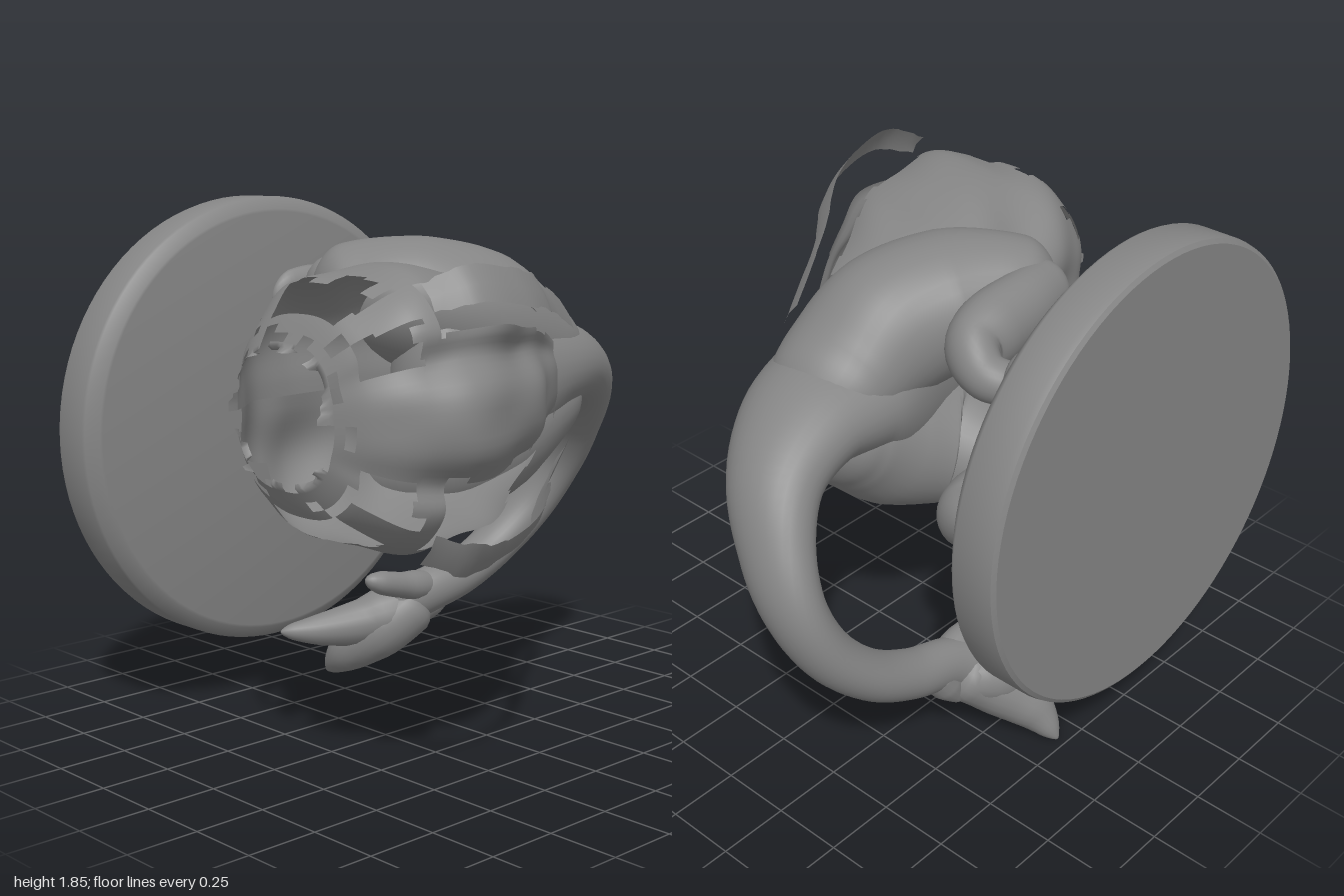
import * as THREE from 'three';
import { toCreasedNormals } from 'three/addons/utils/BufferGeometryUtils.js';

const V = (x, y, z) => new THREE.Vector3(x, y, z);
const grey = new THREE.MeshStandardMaterial({ color: 0x858585 });
const thin = new THREE.MeshStandardMaterial({ color: 0x858585, side: THREE.DoubleSide });
const MID = 1.23; // the body's plane of symmetry in y

function named(name, geometry, material = grey) {
  const mesh = new THREE.Mesh(geometry, material);
  mesh.name = name;
  return mesh;
}

// Seeded value between 0 and 1 for torn edges
function noise(a, b = 0) {
  const s = Math.sin(a * 127.1 + b * 311.7 + 4.7) * 43758.5453;
  return s - Math.floor(s);
}

function surface(positions, index) {
  const g = new THREE.BufferGeometry();
  g.setAttribute('position', new THREE.Float32BufferAttribute(positions, 3));
  g.setIndex(index);
  g.computeVertexNormals();
  return g;
}

// Smooth limb through points [x, y, z, sideRadius, refRadius], with rounded ends
function limb(points, ref, rings = 60, sides = 28, cap = 0.07) {
  const path = new THREE.CatmullRomCurve3(points.map(p => V(p[0], p[1], p[2])));
  const size = new THREE.CatmullRomCurve3(points.map(p => V(p[3], p[4] ?? p[3], 0)));
  const positions = [], index = [];
  for (let i = 0; i <= rings; i++) {
    // rings gather at the ends so the caps stay round
    const t = (1 - Math.cos(Math.PI * i / rings)) / 2;
    const c = path.getPoint(t), r = size.getPoint(t), dir = path.getTangent(t);
    const side = V(0, 0, 0).crossVectors(dir, ref).normalize();
    const up = V(0, 0, 0).crossVectors(side, dir);
    const d = Math.min(1, Math.min(t, 1 - t) / cap);
    const k = Math.sqrt(Math.max(0, 1 - (1 - d) ** 2)) + 1e-4;
    for (let j = 0; j < sides; j++) {
      const a = j / sides * Math.PI * 2;
      const p = c.clone().addScaledVector(side, Math.cos(a) * r.x * k).addScaledVector(up, Math.sin(a) * r.y * k);
      positions.push(p.x, p.y, p.z);
      if (i < rings) {
        const q = i * sides + j, n = i * sides + (j + 1) % sides;
        index.push(q, q + sides, n, n, q + sides, n + sides);
      }
    }
  }
  return surface(positions, index);
}

// Hollow torn torso: rows are [x, lowZ, highZ, halfWidth]
function torsoGeometry() {
  const rows = [
    [0.36, 0, 0.25, 0.19], [0.2, -0.06, 0.37, 0.28], [0, -0.11, 0.52, 0.35],
    [-0.2, -0.14, 0.67, 0.4], [-0.4, -0.14, 0.77, 0.43], [-0.6, -0.14, 0.79, 0.44],
    [-0.74, -0.1, 0.74, 0.41], [-0.86, 0, 0.62, 0.32], [-0.93, 0.07, 0.48, 0.2]];
  const place = new THREE.CatmullRomCurve3(rows.map(r => V(r[0], r[1], r[2])));
  const width = new THREE.CatmullRomCurve3(rows.map(r => V(r[3], 0, 0)));
  const square = v => Math.sign(v) * Math.abs(v) ** 0.8;
  const nu = 72, nv = 128, positions = [], index = [];
  for (let i = 0; i <= nu; i++) {
    const t = i / nu, p = place.getPoint(t), w = width.getPoint(t).x, mid = Math.sin(Math.PI * t);
    for (let j = 0; j <= nv; j++) {
      const a = (j / nv * 2 - 1) * Math.PI, s = Math.abs(a);
      // grooves beside the spine, and a breastbone crease below
      const groove = 0.06 * Math.exp(-(((s - 0.36) / 0.16) ** 2)) * mid;
      const crease = 0.05 * Math.exp(-(((s - Math.PI) / 0.25) ** 2)) * mid;
      const fold = 1 + 0.025 * Math.sin(t * 22 + s * 5) * mid;
      const rag = i === nu ? (noise(Math.floor(j / 3)) - 0.5) * 0.07 : 0;
      positions.push(p.x + rag, MID + square(Math.sin(a)) * w * fold,
        (p.y + p.z) / 2 + square(Math.cos(a)) * (p.z - p.y) / 2 * fold - groove + crease);
    }
  }
  for (let i = 0; i < nu; i++) for (let j = 0; j < nv; j++) {
    const x = place.getPoint((i + 0.5) / nu).x;
    const a = ((j + 0.5) / nv * 2 - 1) * Math.PI, s = Math.abs(a);
    const wob = (noise(Math.floor(i / 4), Math.floor(j / 64)) - 0.5) * 0.1;
    // long slots beside the spine
    const inner = a > 0 ? 0.56 : 0.32;
    const slot = x < 0.3 && x > -0.66 + wob && s > inner + wob && s < 1.08 + wob;
    // gaps round the torn neck
    const start = -0.7 - 0.08 * noise(Math.floor(j / 3), 3);
    const neck = x < start && x > -0.87 &&
      ((s > 1.1 + wob && s < 1.95) || (s > 0.35 && s < 0.75 + wob) || (s > 2.3 && s < 2.7));
    const frayed = x < -0.87 && noise(Math.floor(j / 4), Math.floor(i / 2)) > 0.7;
    if (slot || neck || frayed) continue;
    const q = i * (nv + 1) + j, m = q + nv + 1;
    index.push(q, q + 1, m, q + 1, m + 1, m);
  }
  return surface(positions, index);
}

// Ragged ribbon of skin hanging along one side of the back
function backStrip(side) {
  const path = new THREE.CatmullRomCurve3([
    V(0.37, 0.23, 0.27), V(0.2, 0.28, 0.37), V(0, 0.32, 0.5), V(-0.2, 0.36, 0.66),
    V(-0.4, 0.39, 0.75), V(-0.6, 0.41, 0.77), V(-0.72, 0.37, 0.7)]);
  const n = 40, positions = [], index = [];
  for (let i = 0; i <= n; i++) {
    const p = path.getPoint(i / n);
    const half = 0.035 + 0.025 * noise(Math.floor(i / 3), side);
    for (const k of [-1, 0, 1]) {
      positions.push(p.x, MID + side * (p.y + k * half), p.z - k * half * 0.7 + (k ? 0 : 0.01));
    }
    if (i < n) for (const q of [i * 3, i * 3 + 1]) {
      if (side > 0) index.push(q, q + 1, q + 3, q + 1, q + 4, q + 3);
      else index.push(q, q + 3, q + 1, q + 1, q + 3, q + 4);
    }
  }
  return surface(positions, index);
}

function baseDisc() {
  const profile = [[0, -0.85], [0.8, -0.85], [0.815, -0.84], [0.82, -0.82], [0.82, -0.695],
    [0.815, -0.685], [0.775, -0.652], [0.765, -0.65], [0, -0.65]].map(p => new THREE.Vector2(...p));
  const g = new THREE.LatheGeometry(profile, 96);
  g.rotateX(Math.PI / 2);
  g.translate(-0.18, 1.04, 0);
  return toCreasedNormals(g, 0.5);
}

// Leg on one side (+1 or -1 in y); dx and dz shift everything below the hip
function leg(side, dx, dz) {
  const group = new THREE.Group();
  group.name = side > 0 ? 'upperLeg' : 'lowerLeg';
  const put = (pts, shiftFrom) => pts.map(([x, y, z, a, b], i) =>
    [x + (i >= shiftFrom ? dx : 0), MID + side * y, z + (i >= shiftFrom ? dz : 0), a, b]);
  const Y = V(0, 1, 0);
  group.add(named('thigh', limb(put([
    [0.6, 0.03, 0.0, 0.17, 0.12], [0.38, 0.11, 0.03, 0.23, 0.2], [0.17, 0.21, 0.0, 0.25, 0.25],
    [-0.02, 0.27, -0.1, 0.25, 0.235], [-0.16, 0.3, -0.23, 0.19, 0.19],
    [-0.28, 0.3, -0.34, 0.12, 0.14]], 4), Y, 60, 32, 0.13)));
  group.add(named('shin', limb(put([
    [-0.27, 0.3, -0.32, 0.1, 0.12], [-0.07, 0.31, -0.36, 0.11, 0.13], [0.1, 0.3, -0.37, 0.115, 0.13],
    [0.21, 0.28, -0.39, 0.09, 0.11], [0.25, 0.24, -0.48, 0.075, 0.08], [0.22, 0.23, -0.57, 0.075, 0.07],
    [0.2, 0.25, -0.67, 0.09, 0.1]], 0), Y)));
  group.add(named('foot', limb(put([
    [0.3, 0.25, -0.62, 0.06, 0.1], [0.14, 0.25, -0.61, 0.07, 0.12],
    [-0.04, 0.26, -0.63, 0.05, 0.12], [-0.2, 0.27, -0.65, 0.03, 0.08]], 0), Y, 30, 20, 0.15)));
  return group;
}

export function createModel() {
  const model = new THREE.Group();
  const Z = V(0, 0, 1);
  model.add(named('baseDisc', baseDisc()));
  model.add(named('torso', torsoGeometry(), thin));
  for (const side of [1, -1]) model.add(named('backStrip', backStrip(side), thin));

  // Pelvis running into the curling tail
  model.add(named('pelvisAndTail', limb([
    [-0.18, 1.23, 0.04, 0.22, 0.15], [0.02, 1.23, 0.04, 0.3, 0.2], [0.22, 1.24, 0.04, 0.29, 0.25],
    [0.4, 1.26, 0.035, 0.2, 0.26], [0.6, 1.245, 0, 0.155, 0.22], [0.78, 1.15, -0.07, 0.13, 0.17],
    [0.88, 0.99, -0.17, 0.105, 0.14], [0.905, 0.82, -0.26, 0.095, 0.125], [0.84, 0.64, -0.33, 0.09, 0.11],
    [0.7, 0.49, -0.38, 0.085, 0.1], [0.52, 0.39, -0.4, 0.085, 0.09], [0.34, 0.34, -0.42, 0.09, 0.08],
    [0.2, 0.28, -0.48, 0.09, 0.07]], Z, 110, 32, 0.04)));

  // Pointed lobes at the tail tip
  const lobes = new THREE.Group();
  lobes.name = 'tailTip';
  const shapes = [
    [[0.4, 0.36, -0.41, 0.05], [0.22, 0.39, -0.4, 0.05], [0.1, 0.42, -0.4, 0.045], [0.03, 0.44, -0.41, 0.02]],
    [[0.34, 0.3, -0.43, 0.09], [0.14, 0.24, -0.53, 0.09], [-0.04, 0.225, -0.6, 0.06], [-0.18, 0.23, -0.66, 0.02]],
    [[0.34, 0.32, -0.42, 0.1], [0.2, 0.21, -0.5, 0.11], [0.12, 0.11, -0.61, 0.085], [0.1, 0.01, -0.72, 0.02]],
    [[0.42, 0.35, -0.42, 0.07], [0.38, 0.28, -0.44, 0.06], [0.33, 0.2, -0.47, 0.02]]];
  for (const s of shapes) lobes.add(named('lobe', limb(s, Z, 24, 18, 0.12)));
  model.add(lobes);

  model.add(leg(1, 0, 0), leg(-1, 0.09, -0.05));
  return model;
}
